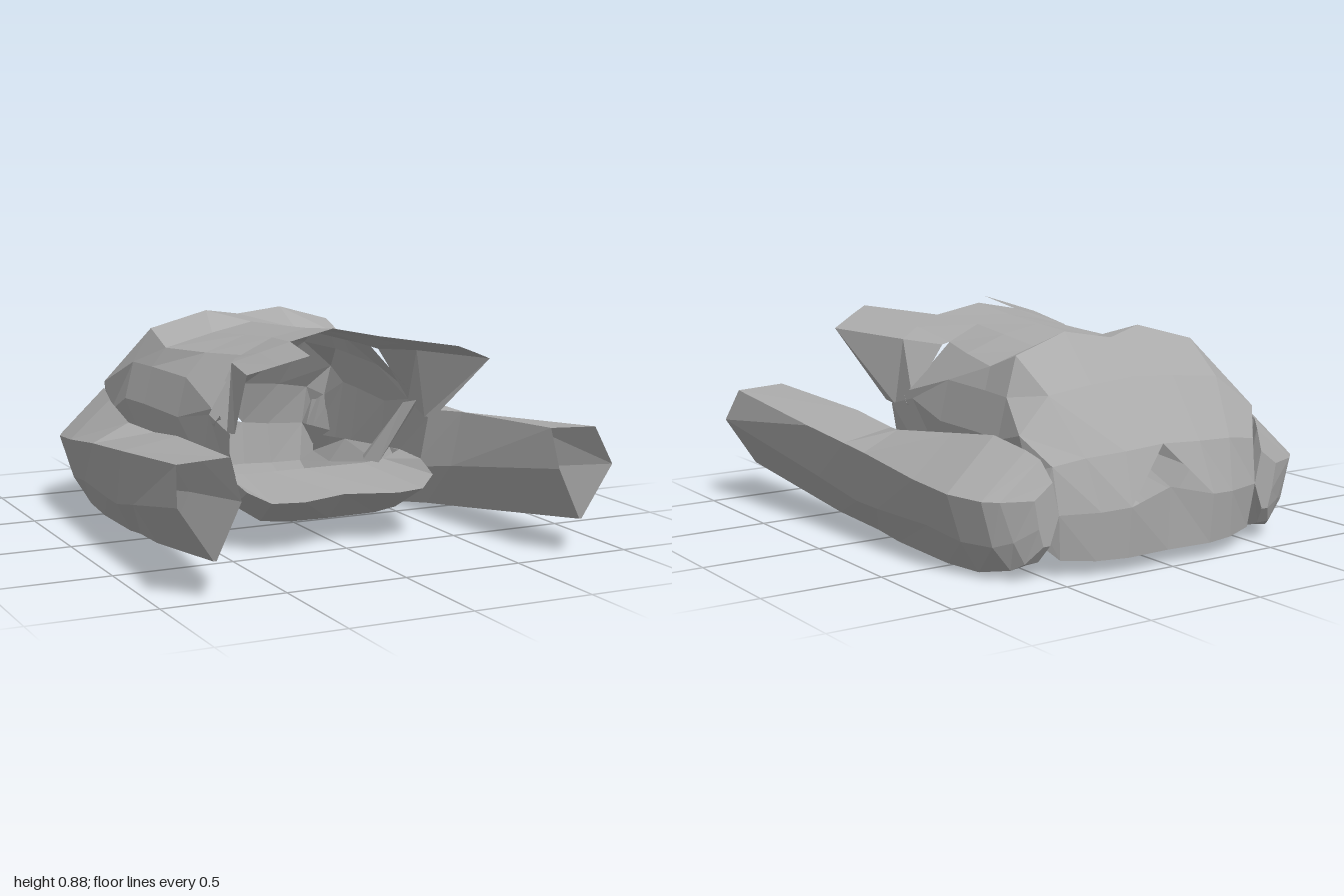
import * as THREE from 'three';

const hullGrey = new THREE.MeshStandardMaterial({ color: 0xaaaaaa, flatShading: true, side: THREE.DoubleSide });
hullGrey.name = 'hullGrey';

// Faceted surface through rows of [x, y, z] points; rings are open at the first row and capped at the last
function loft(rows, ring = false) {
  const pos = [];
  const tri = (...pts) => pts.forEach((p) => pos.push(...p));
  const n = rows[0].length;
  for (let r = 0; r + 1 < rows.length; r++) {
    for (let i = 0; i < (ring ? n : n - 1); i++) {
      const j = (i + 1) % n;
      const a = rows[r][i], b = rows[r][j], c = rows[r + 1][j], d = rows[r + 1][i];
      tri(a, b, d);
      tri(b, c, d);
    }
  }
  if (ring) {
    const last = rows[rows.length - 1];
    for (let i = 1; i + 1 < n; i++) tri(last[0], last[i], last[i + 1]);
  }
  const geo = new THREE.BufferGeometry();
  geo.setAttribute('position', new THREE.Float32BufferAttribute(pos, 3));
  geo.computeVertexNormals();
  return geo;
}

const flip = (rows) => rows.map((row) => row.map(([x, y, z]) => [-x, y, z]).reverse());

export function createModel() {
  const group = new THREE.Group();
  const addPair = (name, rows, ring) => {
    [['left', rows], ['right', flip(rows)]].forEach(([side, r]) => {
      const mesh = new THREE.Mesh(loft(r, ring), hullGrey);
      mesh.name = side + name;
      group.add(mesh);
    });
  };

  // Long hollow side arms: outer ridge, two bottom corners, inner ridge, top inner, top outer
  const section = (z, ...xy) => xy.map(([x, y]) => [x, y, z]);
  addPair('Arm', [
    [[0.93, 0.36, 1], [0.79, 0.15, 1], [0.78, 0.15, 1], [0.68, 0.36, 1], [0.69, 0.51, 0.92], [0.9, 0.5, 0.92]],
    section(0.3, [0.84, 0.22], [0.74, 0.055], [0.69, 0.06], [0.6, 0.25], [0.65, 0.48], [0.885, 0.44]),
    section(0.03, [0.81, 0.165], [0.71, 0.03], [0.64, 0.03], [0.565, 0.2], [0.645, 0.45], [0.865, 0.41]),
    section(-0.12, [0.8, 0.16], [0.7, 0.01], [0.6, 0.01], [0.55, 0.2], [0.7, 0.47], [0.857, 0.395]),
    section(-0.47, [0.78, 0.163], [0.69, 0], [0.58, 0], [0.53, 0.25], [0.66, 0.51], [0.84, 0.35]),
    section(-0.68, [0.76, 0.14], [0.68, 0.01], [0.57, 0.01], [0.51, 0.25], [0.61, 0.53], [0.82, 0.33]),
    section(-0.82, [0.71, 0.14], [0.63, 0.04], [0.56, 0.05], [0.49, 0.25], [0.56, 0.49], [0.76, 0.32]),
    section(-0.87, [0.65, 0.16], [0.6, 0.07], [0.54, 0.07], [0.48, 0.25], [0.53, 0.46], [0.71, 0.32]),
    section(-0.92, [0.57, 0.21], [0.55, 0.14], [0.52, 0.14], [0.48, 0.25], [0.51, 0.38], [0.59, 0.32]),
  ], true);

  // Rounded rear hood, from its raised front rim down to a notch at the back
  const rim = [[0, 0.84, -0.59], [0.18, 0.87, -0.53], [0.43, 0.8, -0.56], [0.5, 0.65, -0.6], [0.54, 0.49, -0.6]];
  const notch = [0.2, 0.26, -1];
  const back = [notch, [0.32, 0.25, -0.97], [0.48, 0.25, -0.92], [0.52, 0.2, -0.87]];
  addPair('Hood', [
    rim,
    [[0, 0.7, -0.72], [0.2, 0.69, -0.735], [0.41, 0.67, -0.75], [0.57, 0.54, -0.79], [0.54, 0.4, -0.8]],
    [[0, 0.47, -0.93], [0.18, 0.46, -0.93], [0.35, 0.45, -0.91], [0.49, 0.43, -0.89], [0.52, 0.3, -0.87]],
    [notch, ...back],
  ]);

  // Tail wall below the notch
  const tail = [[0, 0.06, -0.97], [0.2, 0.06, -0.98], [0.33, 0.06, -0.95], [0.46, 0.07, -0.9], [0.51, 0.12, -0.86]];
  addPair('Tail', [[[0, 0.31, -0.98], ...back], tail]);

  // Canopy with a low centre ridge and sloping sides, stepped down from the hood
  addPair('Canopy', [
    [[0, 0.855, 0.13], [0.16, 0.825, 0.13], [0.3, 0.76, 0.13], [0.46, 0.56, 0.2], [0.46, 0.53, 0.17]],
    [[0, 0.84, -0.1], [0.18, 0.81, -0.1], [0.36, 0.745, -0.1], [0.45, 0.645, -0.1], [0.49, 0.48, -0.1]],
    [[0, 0.82, -0.44], [0.2, 0.785, -0.41], [0.43, 0.735, -0.38], [0.48, 0.65, -0.42], [0.52, 0.49, -0.42]],
    rim,
  ]);

  // Front brim and the two forward prongs
  const brimFront = [[0.2, 0.84, 0.39], [0.32, 0.8, 0.36], [0.42, 0.76, 0.31]];
  const brimCorner = [0.33, 0.75, 0.14];
  addPair('Brim', [
    [[0, 0.88, 0.37], ...brimFront],
    [[0, 0.855, 0.13], [0.16, 0.825, 0.13], [0.3, 0.76, 0.13], brimCorner],
  ]);
  addPair('Prong', [
    [[0.32, 0.845, 0.82], [0.42, 0.81, 0.77], [0.53, 0.77, 0.71]],
    brimFront,
  ]);

  // Cheek plates hanging below the prongs
  addPair('Cheek', [
    [brimCorner, [0.42, 0.76, 0.31], [0.53, 0.77, 0.71]],
    [[0.46, 0.53, 0.17], [0.45, 0.48, 0.33], [0.45, 0.49, 0.41]],
  ]);

  // Slanted struts inside the mouth, from the cheeks down to the tray
  addPair('Strut', [
    [[0.43, 0.52, 0.18], [0.45, 0.49, 0.12], [0.46, 0.5, 0.22], [0.45, 0.54, 0.26]],
    [[0.31, 0.26, 0.05], [0.35, 0.26, -0.03], [0.38, 0.26, 0.08], [0.33, 0.25, 0.14]],
  ], true);

  // Lower side walls between canopy and tray
  addPair('SideWall', [
    [[0.54, 0.4, -0.8], [0.54, 0.49, -0.6], [0.52, 0.49, -0.42], [0.49, 0.48, -0.1], [0.46, 0.53, 0.17], [0.45, 0.48, 0.36]],
    [[0.52, 0.2, -0.87], [0.5, 0.23, -0.6], [0.49, 0.25, -0.42], [0.47, 0.28, -0.1], [0.46, 0.3, 0.1], [0.44, 0.3, 0.32]],
  ]);

  // Belly: flat at the tail, pinched at the middle, running forward into the chin
  const chin = [[0, 0.22, 0.48], [0.21, 0.22, 0.55], [0.34, 0.22, 0.52], [0.42, 0.26, 0.46], [0.44, 0.3, 0.32]];
  addPair('Belly', [
    tail,
    [[0, 0.05, -0.5], [0.2, 0.05, -0.5], [0.32, 0.065, -0.5], [0.42, 0.14, -0.5], [0.5, 0.24, -0.5]],
    [[0, 0.08, 0], [0.2, 0.11, 0], [0.3, 0.16, 0], [0.4, 0.23, 0], [0.465, 0.29, 0]],
    [[0, 0.09, 0.33], [0.2, 0.1, 0.36], [0.31, 0.11, 0.34], [0.4, 0.17, 0.28], [0.45, 0.3, 0.2]],
    chin,
  ]);

  // Tray plate rising gently from the chin to an open back edge
  addPair('Tray', [
    chin,
    [[0, 0.255, 0.1], [0.15, 0.255, 0.1], [0.28, 0.255, 0.1], [0.38, 0.265, 0.1], [0.46, 0.3, 0.1]],
  ]);

  return group;
}
